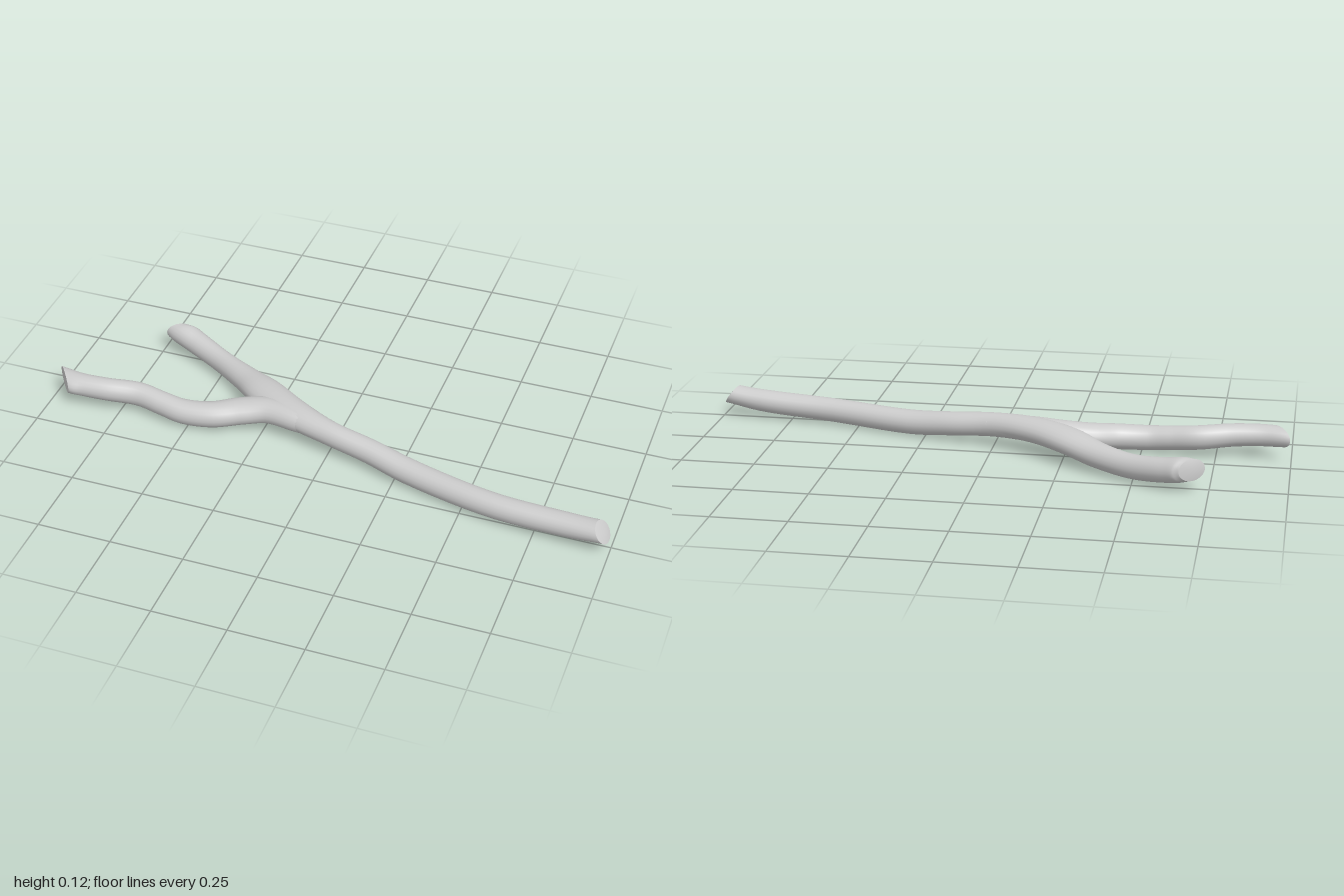
import * as THREE from 'three';

const SIDES = 20, RINGS = 64;
const UP = new THREE.Vector3(0, 1, 0);

// Sweeps an oval section along rows of [x, y, z, halfWidth, halfHeight].
// startCut / endCut = [sideSlope, upSlope, dome] slant and bulge the sawn ends.
function limb(name, rows, startCut, endCut, material) {
  const path = new THREE.CatmullRomCurve3(rows.map(r => new THREE.Vector3(r[0], r[1], r[2])), false, 'centripetal');
  const size = new THREE.SplineCurve(rows.map(r => new THREE.Vector2(r[3], r[4])));
  const pos = [], index = [];
  const caps = [];
  for (let i = 0; i <= RINGS; i++) {
    const t = i / RINGS;
    const c = path.getPoint(t), s = size.getPoint(t);
    const dir = path.getTangent(t);
    const side = dir.clone().cross(UP).normalize();
    const up = side.clone().cross(dir);
    const a = 1 - THREE.MathUtils.smoothstep(t, 0, 0.15);
    const b = THREE.MathUtils.smoothstep(t, 0.82, 1);
    for (let j = 0; j < SIDES; j++) {
      const ang = j / SIDES * Math.PI * 2;
      const w = Math.cos(ang) * s.x, h = Math.sin(ang) * s.y;
      const slant = b * (endCut[0] * w + endCut[1] * h) - a * (startCut[0] * w + startCut[1] * h);
      const p = c.clone().addScaledVector(side, w).addScaledVector(up, h).addScaledVector(dir, slant);
      pos.push(p.x, p.y, p.z);
      if (i < RINGS) {
        const k = (j + 1) % SIDES, q = i * SIDES;
        index.push(q + j, q + SIDES + j, q + k, q + k, q + SIDES + j, q + SIDES + k);
      }
    }
    if (i === 0) caps.push([0, c.clone().addScaledVector(dir, -startCut[2]), false]);
    if (i === RINGS) caps.push([i * SIDES, c.clone().addScaledVector(dir, endCut[2]), true]);
  }
  // end faces with their own vertices, so the rim stays crisp
  for (const [first, centre, isEnd] of caps) {
    const base = pos.length / 3;
    pos.push(...pos.slice(first * 3, (first + SIDES) * 3), centre.x, centre.y, centre.z);
    for (let j = 0; j < SIDES; j++) {
      const p = base + j, q = base + (j + 1) % SIDES;
      index.push(base + SIDES, isEnd ? q : p, isEnd ? p : q);
    }
  }
  const g = new THREE.BufferGeometry();
  g.setAttribute('position', new THREE.Float32BufferAttribute(pos, 3));
  g.setIndex(index);
  g.computeVertexNormals();
  const mesh = new THREE.Mesh(g, material);
  mesh.name = name;
  return mesh;
}

export function createModel() {
  const group = new THREE.Group();
  group.name = 'forkedStick';
  const bark = new THREE.MeshStandardMaterial({ color: 0xcccccc });

  // main stem running on into the rear branch
  group.add(limb('stemAndRearBranch', [
    [0.972, 0.078, 0.27, 0.042, 0.034],
    [0.85, 0.063, 0.255, 0.042, 0.039],
    [0.6, 0.051, 0.228, 0.042, 0.041],
    [0.3, 0.047, 0.152, 0.044, 0.042],
    [0.15, 0.062, 0.112, 0.042, 0.041],
    [0, 0.076, 0.082, 0.042, 0.041],
    [-0.15, 0.082, 0.027, 0.058, 0.042],
    [-0.28, 0.075, -0.055, 0.063, 0.042],
    [-0.38, 0.058, -0.128, 0.048, 0.042],
    [-0.5, 0.052, -0.203, 0.038, 0.041],
    [-0.61, 0.065, -0.256, 0.041, 0.041],
    [-0.665, 0.076, -0.277, 0.043, 0.041],
    [-0.695, 0.08, -0.287, 0.036, 0.036],
  ], [0, -0.55, 0.008], [-0.85, 0, 0.01], bark));

  // front branch, its root buried in the stem
  group.add(limb('frontBranch', [
    [0.02, 0.077, 0.075, 0.03, 0.032],
    [-0.12, 0.08, 0.058, 0.04, 0.039],
    [-0.24, 0.076, 0.033, 0.05, 0.042],
    [-0.33, 0.064, 0.053, 0.053, 0.043],
    [-0.42, 0.054, 0.091, 0.047, 0.043],
    [-0.52, 0.051, 0.104, 0.043, 0.042],
    [-0.6, 0.058, 0.095, 0.04, 0.041],
    [-0.69, 0.067, 0.084, 0.039, 0.041],
    [-0.8, 0.075, 0.105, 0.039, 0.039],
    [-0.89, 0.078, 0.112, 0.041, 0.037],
    [-0.957, 0.079, 0.107, 0.048, 0.035],
  ], [0, 0, 0], [0.85, 0, -0.003], bark));

  return group;
}
